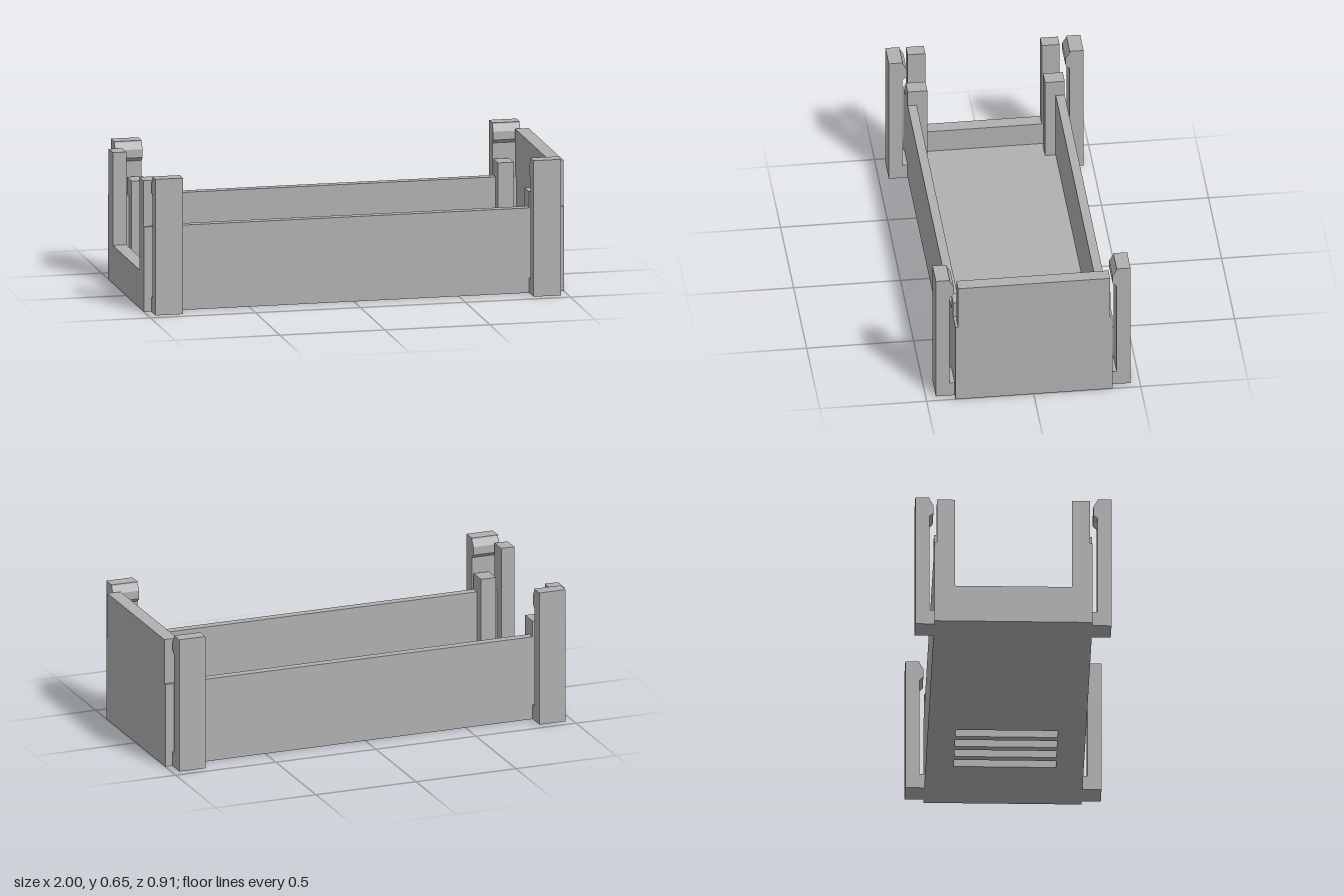
import * as THREE from 'three';

export function createModel() {
  const group = new THREE.Group();
  const material = new THREE.MeshStandardMaterial({ color: 0xb0b0b0 });
  material.name = 'grey plastic';
  const midZ = -0.002; // tiny offset of the tray from the clips' centre

  const add = (name, geometry) => {
    const mesh = new THREE.Mesh(geometry, material);
    mesh.name = name;
    group.add(mesh);
  };
  const box = (name, x0, x1, y0, y1, z0, z1) => {
    const g = new THREE.BoxGeometry(x1 - x0, y1 - y0, Math.abs(z1 - z0));
    add(name, g.translate((x0 + x1) / 2, (y0 + y1) / 2, (z0 + z1) / 2 + midZ));
  };
  // Extrude a [z, y] outline along x
  const profile = (name, points, x0, x1) => {
    const shape = new THREE.Shape(points.map(([z, y]) => new THREE.Vector2(-z, y)));
    const g = new THREE.ExtrudeGeometry(shape, { depth: x1 - x0, bevelEnabled: false });
    add(name, g.rotateY(Math.PI / 2).translate(x0, 0, midZ));
  };
  const rect = (path, x0, x1, y0, y1) =>
    path.moveTo(x0, y0).lineTo(x1, y0).lineTo(x1, y1).lineTo(x0, y1).closePath();

  // Floor with four vent slots
  const floor = rect(new THREE.Shape(), -1, 1, -0.33, 0.33);
  for (let i = 0; i < 4; i++) {
    const x = 0.195 + i * 0.11;
    floor.holes.push(rect(new THREE.Path(), x, x + 0.072, -0.237, 0.237));
  }
  const floorGeometry = new THREE.ExtrudeGeometry(floor, { depth: 0.07, bevelEnabled: false });
  add('floor', floorGeometry.rotateX(-Math.PI / 2).translate(0, 0, midZ));

  // Closed end and open U-shaped end
  box('endPanel', 0.935, 1, 0, 0.62, -0.355, 0.355);
  profile('openEnd', [
    [-0.355, 0], [0.355, 0], [0.355, 0.62], [0.272, 0.62],
    [0.272, 0.18], [-0.272, 0.18], [-0.272, 0.62], [-0.355, 0.62],
  ], -1, -0.935);

  for (const s of [1, -1]) {
    box('sideWall', -1, 1, 0, 0.403, s * 0.325, s * 0.367);

    for (const e of [1, -1]) {
      // Short inner guide post
      const post = [e * 0.835, e * 0.91].sort((a, b) => a - b);
      box('guidePost', ...post, 0.02, 0.48, s * 0.275, s * 0.367);

      // Snap clip: foot, upright and hooked tip
      const clip = [e * 0.835, e * 0.965].sort((a, b) => a - b);
      profile('snapClip', [
        [0.366, 0], [0.455, 0], [0.455, 0.646], [0.39, 0.646], [0.39, 0.64],
        [0.371, 0.607], [0.371, 0.568], [0.39, 0.55], [0.39, 0.07], [0.366, 0.07],
      ].map(([z, y]) => [s * z, y]), ...clip);
    }
  }
  return group;
}
